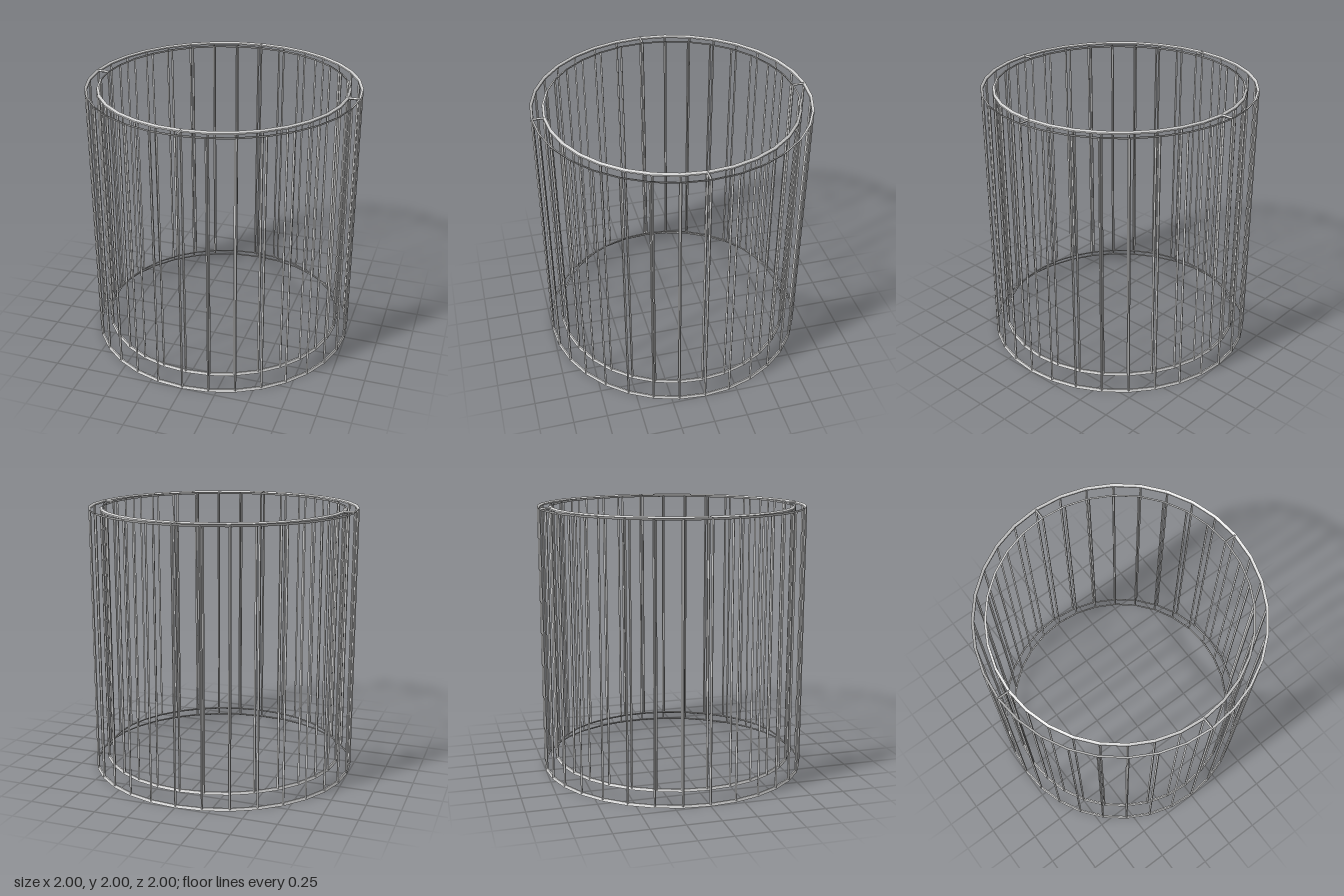
import * as THREE from 'three';

const SIDES = 32;
const A = 0.0095; // bar tip offset at a corner
const D = 0.0085; // bar half width along a face
const WALL = 0.084;
const TOP = 2 - A;
const OUTER = { r: 1 - A, bottom: A };
const INNER = { r: OUTER.r - WALL, bottom: OUTER.bottom + WALL };

export function createModel() {
  const model = new THREE.Group();
  model.name = 'wireCup';
  const material = new THREE.MeshStandardMaterial({ color: 0xcccccc, flatShading: true });

  const add = (parent, name, geometry) => {
    const mesh = new THREE.Mesh(geometry, material);
    mesh.name = name;
    parent.add(mesh);
    return mesh;
  };

  // Faceted hoop with a kite section; sx and sy point to the solid corner
  const hoop = (name, r, y, sx, sy) => {
    const section = [[sx * A, sy * A], [-sx * D, 0], [-sx * A, -sy * A], [0, -sy * D]];
    if (sx * sy < 0) section.reverse();
    section.push(section[0]);
    const points = section.map(([dx, dy]) => new THREE.Vector2(r + dx, y + dy));
    add(model, name, new THREE.LatheGeometry(points, SIDES));
  };

  // Upright diamond bars, one per corner of the hoop
  const uprights = (name, { r, bottom }) => {
    const group = new THREE.Group();
    group.name = name;
    const geometry = new THREE.CylinderGeometry(1, 1, TOP - bottom, 4, 1, true);
    geometry.scale(D, 1, A);
    for (let i = 0; i < SIDES; i++) {
      const angle = (i / SIDES) * Math.PI * 2;
      const bar = add(group, 'upright', geometry);
      bar.position.set(Math.sin(angle) * r, (TOP + bottom) / 2, Math.cos(angle) * r);
      bar.rotation.y = angle;
    }
    model.add(group);
  };

  hoop('outerTopHoop', OUTER.r, TOP, 1, 1);
  hoop('outerBottomHoop', OUTER.r, OUTER.bottom, 1, -1);
  hoop('innerTopHoop', INNER.r, TOP, -1, 1);
  hoop('innerBottomHoop', INNER.r, INNER.bottom, 1, -1);
  uprights('outerUprights', OUTER);
  uprights('innerUprights', INNER);

  // Four short spokes joining the two top hoops
  const spoke = new THREE.CylinderGeometry(1, 1, WALL, 4, 1, true);
  spoke.scale(D, 1, A);
  spoke.rotateX(Math.PI / 2);
  const mid = (OUTER.r + INNER.r) / 2;
  for (let i = 0; i < 4; i++) {
    const angle = (i * Math.PI) / 2;
    const bar = add(model, 'rimSpoke', spoke);
    bar.position.set(Math.sin(angle) * mid, TOP, Math.cos(angle) * mid);
    bar.rotation.y = angle;
  }

  return model;
}
